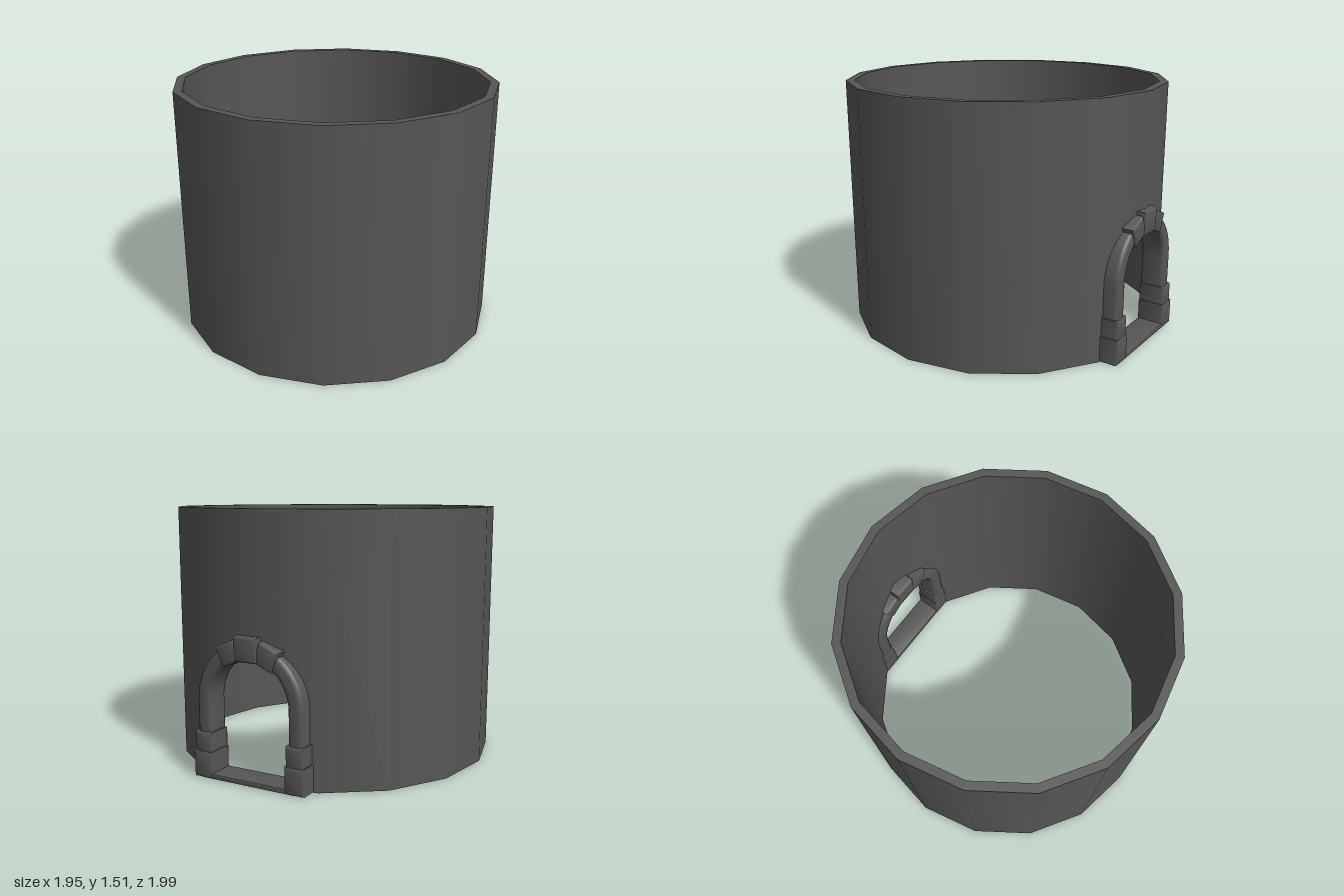
import * as THREE from 'three';
import { toCreasedNormals } from 'three/addons/utils/BufferGeometryUtils.js';

const SIDES = 16, H = 1.51, R_OUT = 0.977, R_IN = 0.925, CZ = 0.017;
const DOOR_X = 0.012, SPRING = 0.46;

export function createModel() {
  const model = new THREE.Group();
  const stone = new THREE.MeshStandardMaterial({ color: 0x565656 });
  stone.name = 'dark grey stone';

  const add = (geometry, name, parent = model) => {
    const mesh = new THREE.Mesh(geometry, stone);
    mesh.name = name;
    parent.add(mesh);
    return mesh;
  };

  // Ring wall: fourteen of sixteen sides, each profile edge kept sharp
  const wall = new THREE.Group();
  wall.name = 'roundWall';
  wall.position.z = CZ;
  model.add(wall);
  const step = (Math.PI * 2) / SIDES;
  const profile = [[R_OUT, 0], [R_OUT, H], [R_IN, H], [R_IN, 0], [R_OUT, 0]];
  const names = ['outerWall', 'topRim', 'innerWall', 'bottomRim'];
  names.forEach((name, i) => {
    const pts = [profile[i], profile[i + 1]].map(p => new THREE.Vector2(...p));
    add(new THREE.LatheGeometry(pts, SIDES - 2, Math.PI + step, step * (SIDES - 2)), name, wall);
  });

  // Two back panels with half of the arched doorway cut from each
  const halfW = R_OUT * Math.sin(step);
  const slope = (R_OUT - R_OUT * Math.cos(step)) / halfW;
  const openR = 0.29;
  for (const side of [-1, 1]) {
    const cx = DOOR_X * side; // door centre measured in this half
    const shape = new THREE.Shape();
    shape.moveTo(cx + openR, 0);
    shape.lineTo(halfW, 0);
    shape.lineTo(halfW, H);
    shape.lineTo(0, H);
    const start = Math.acos(-cx / openR);
    shape.lineTo(0, SPRING + openR * Math.sin(start));
    shape.absarc(cx, SPRING, openR, start, 0, true);
    shape.closePath();
    const geo = new THREE.ExtrudeGeometry(shape, { depth: R_OUT - R_IN, bevelEnabled: false, curveSegments: 12 });
    // The left half is turned about y so that its corner order stays right
    if (side < 0) {
      geo.rotateY(Math.PI);
      geo.translate(0, 0, R_OUT - R_IN);
    }
    const p = geo.attributes.position;
    for (let i = 0; i < p.count; i++) {
      p.setZ(i, p.getZ(i) + CZ - R_OUT + Math.abs(p.getX(i)) * slope);
    }
    geo.computeVertexNormals();
    // Round the shading of the wall faces like the rest of the ring
    const n = geo.attributes.normal, v = new THREE.Vector3();
    for (let i = 0; i < n.count; i++) {
      if (Math.abs(n.getZ(i)) < 0.7) continue;
      v.set(p.getX(i), 0, p.getZ(i) - CZ).normalize();
      if (n.getZ(i) > 0) v.negate();
      n.setXYZ(i, v.x, v.y, v.z);
    }
    add(geo, side < 0 ? 'rightDoorPanel' : 'leftDoorPanel', wall).position.z = -CZ;
  }

  // Soft-edged block, given as x, y and z ranges
  const block = (x0, x1, y0, y1, z0, z1, b = 0.015) => {
    const s = new THREE.Shape();
    s.moveTo(x0 + b, y0 + b);
    s.lineTo(x1 - b, y0 + b);
    s.lineTo(x1 - b, y1 - b);
    s.lineTo(x0 + b, y1 - b);
    s.closePath();
    const g = new THREE.ExtrudeGeometry(s, {
      depth: z1 - z0 - 2 * b, bevelThickness: b, bevelSize: b, bevelSegments: 2,
    });
    g.translate(0, 0, z0 + b);
    return toCreasedNormals(g, 0.9);
  };

  // Door frame: legs and round arch in one band
  const frame = new THREE.Group();
  frame.name = 'doorFrame';
  frame.position.x = DOOR_X;
  model.add(frame);
  const b = 0.025, rOut = 0.34 - b, rIn = 0.25 + b;
  const band = new THREE.Shape();
  band.moveTo(rOut, b);
  band.lineTo(rOut, SPRING);
  band.absarc(0, SPRING, rOut, 0, Math.PI, false);
  band.lineTo(-rOut, b);
  band.lineTo(-rIn, b);
  band.lineTo(-rIn, SPRING);
  band.absarc(0, SPRING, rIn, Math.PI, 0, true);
  band.lineTo(rIn, b);
  band.closePath();
  const arch = new THREE.ExtrudeGeometry(band, {
    depth: 0.15 - 2 * b, bevelThickness: b, bevelSize: b, bevelSegments: 3, curveSegments: 14,
  });
  arch.translate(0, 0, -0.98 + b);
  add(toCreasedNormals(arch, 0.9), 'archedFrame', frame);

  // Stepped feet on both sides
  for (const s of [-1, 1]) {
    const foot = (a, c, ...rest) => block(Math.min(a * s, c * s), Math.max(a * s, c * s), ...rest);
    add(foot(0.235, 0.357, 0.005, 0.16, -1, -0.83), 'frameFoot', frame);
    add(foot(0.24, 0.35, 0.14, 0.27, -0.992, -0.83), 'frameFootCollar', frame);
  }

  // Keystone and its two neighbours, set around the arch
  [-1, 0, 1].forEach(k => {
    const geo = k === 0
      ? block(-0.075, 0.075, 0.235, 0.376, -1, -0.825)
      : block(-0.065, 0.065, 0.238, 0.36, -0.992, -0.828);
    const stoneBlock = add(geo, k === 0 ? 'keystone' : 'archStone', frame);
    stoneBlock.position.y = SPRING;
    stoneBlock.rotation.z = -k * 0.41;
  });

  // Threshold
  add(block(-0.3, 0.3, 0.005, 0.035, -0.995, -0.835, 0.005), 'doorSill', frame);

  return model;
}
